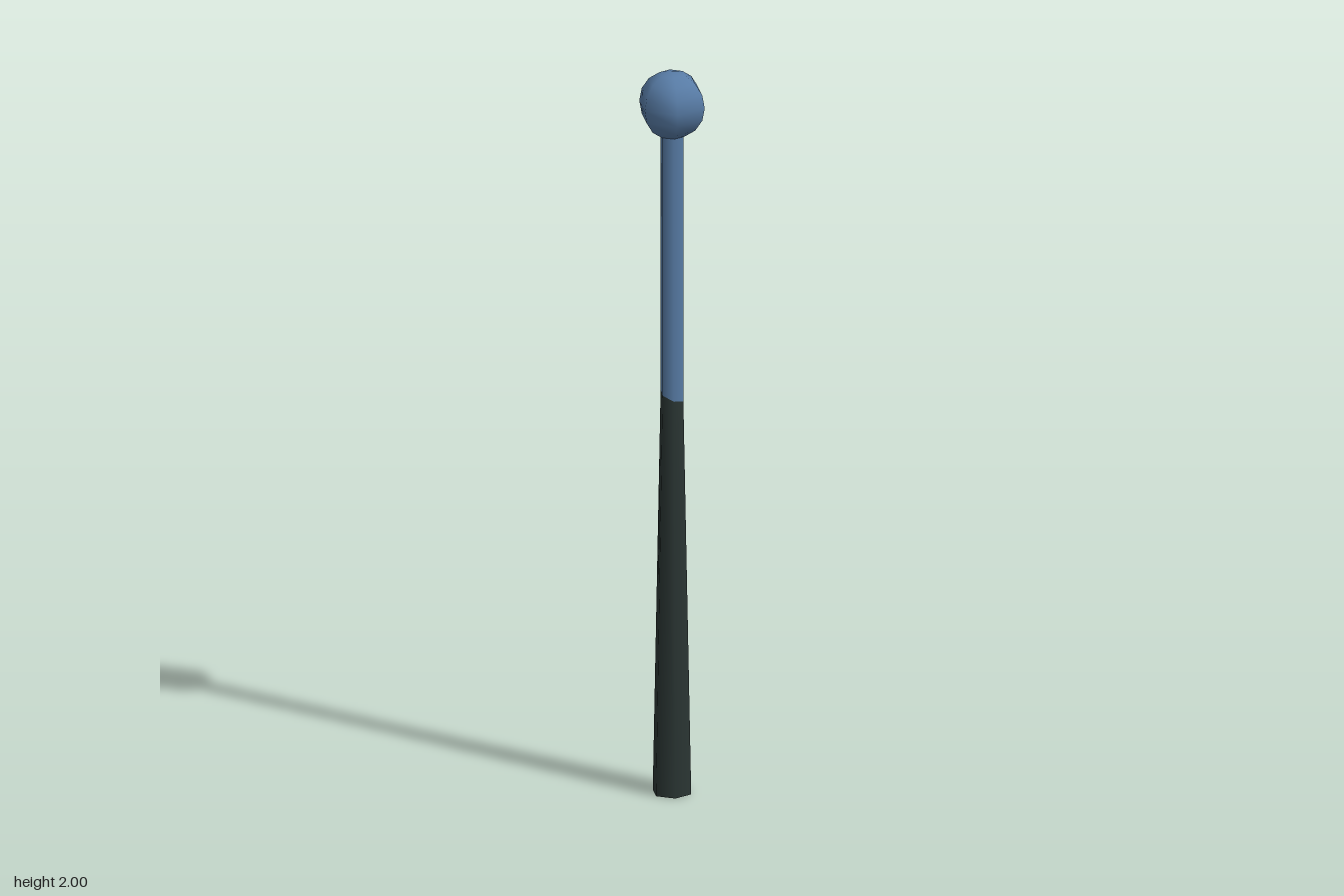
import * as THREE from 'three';

export function createModel() {
  const group = new THREE.Group();
  const blue = new THREE.MeshStandardMaterial({ name: 'blue', color: 0x587ca6 });
  const dark = new THREE.MeshStandardMaterial({ name: 'darkGrip', color: 0x2b3634 });
  const SEAM = 1.1;

  // six-sided turned part with corners on the x axis
  const turned = (name, profile, material) => {
    const points = profile.map(([r, y]) => new THREE.Vector2(r, y));
    const geometry = new THREE.LatheGeometry(points, 6, Math.PI / 2);
    const pos = geometry.attributes.position;
    // the colour seam slopes slightly down towards +x
    for (let i = 0; i < pos.count; i++) {
      if (Math.abs(pos.getY(i) - SEAM) < 1e-4) pos.setY(i, SEAM - 0.4 * pos.getX(i));
    }
    const mesh = new THREE.Mesh(geometry, material);
    mesh.name = name;
    group.add(mesh);
  };

  // tapered grip, its flat end, and the straight shaft
  turned('grip', [[0.054, 0], [0.032, SEAM]], dark);
  turned('gripEnd', [[0, 0], [0.054, 0]], dark);
  turned('shaft', [[0.032, SEAM], [0.032, 1.84]], blue);

  // round knob on top
  const knob = new THREE.Mesh(new THREE.SphereGeometry(0.092, 6, 8), blue);
  knob.name = 'knob';
  knob.position.y = 1.908;
  group.add(knob);

  return group;
}
